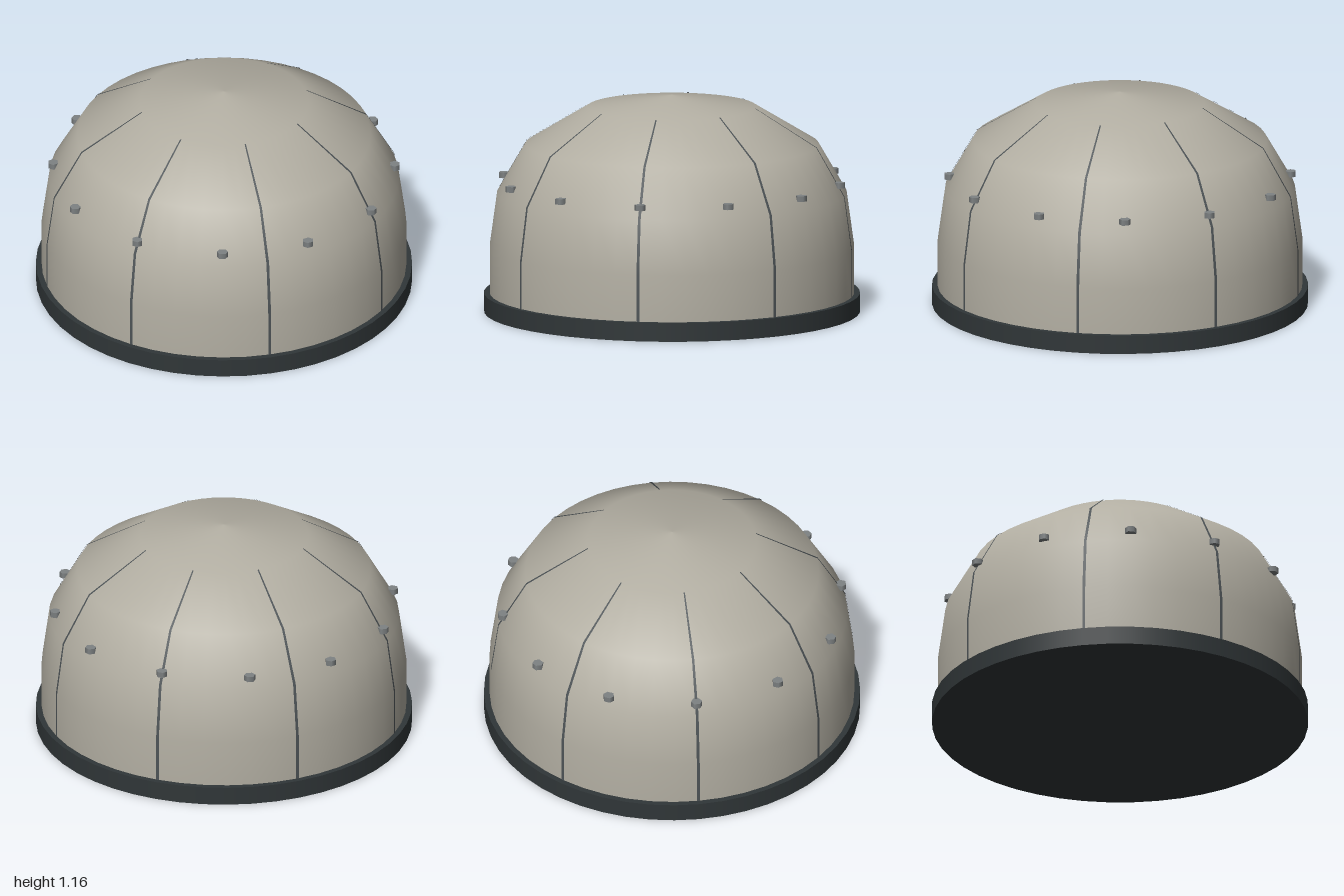
import * as THREE from 'three';

const paint = (color, side = THREE.FrontSide) => new THREE.MeshStandardMaterial({ color, side });

export function createModel() {
  const group = new THREE.Group();
  const add = (name, geometry, material) => {
    const mesh = new THREE.Mesh(geometry, material);
    mesh.name = name;
    group.add(mesh);
    return mesh;
  };

  // Radius and height of the faceted dome outline
  const profile = [[0.97, 0.08], [0.97, 0.35], [0.93, 0.64], [0.78, 0.9], [0.45, 1.1], [0, 1.165]]
    .map(([r, y]) => new THREE.Vector2(r, y));

  // Base disc
  add('base', new THREE.CylinderGeometry(1, 1, 0.1, 48).translate(0, 0.05, 0), paint(0x303638));

  // Dome shell, smooth shaded
  add('dome', new THREE.LatheGeometry(profile, 48), paint(0xb2aea2, THREE.DoubleSide));

  // Eight panel seams: narrow slices of the dome outline, slightly proud of it
  const seamProfile = profile.slice(0, 5).map(p => new THREE.Vector2(p.x + 0.002, p.y + 0.003));
  const seamMaterial = paint(0x4c5255, THREE.DoubleSide);
  const seamAngle = 0.016;
  for (let i = 0; i < 8; i++) {
    const start = i * Math.PI / 4 - seamAngle / 2;
    add('panelSeam', new THREE.LatheGeometry(seamProfile, 1, start, seamAngle), seamMaterial);
  }

  // Twelve hexagonal rivets around the shoulder, corners along the tangent
  const rivetGeometry = new THREE.CylinderGeometry(0.03, 0.03, 0.03, 6).rotateY(Math.PI / 2);
  const rivetMaterial = paint(0x7e8283);
  for (let i = 0; i < 12; i++) {
    const a = i * Math.PI / 6;
    const rivet = add('rivet', rivetGeometry, rivetMaterial);
    rivet.position.set(0.907 * Math.sin(a), 0.705, 0.907 * Math.cos(a));
    rivet.rotation.y = a;
  }

  return group;
}
